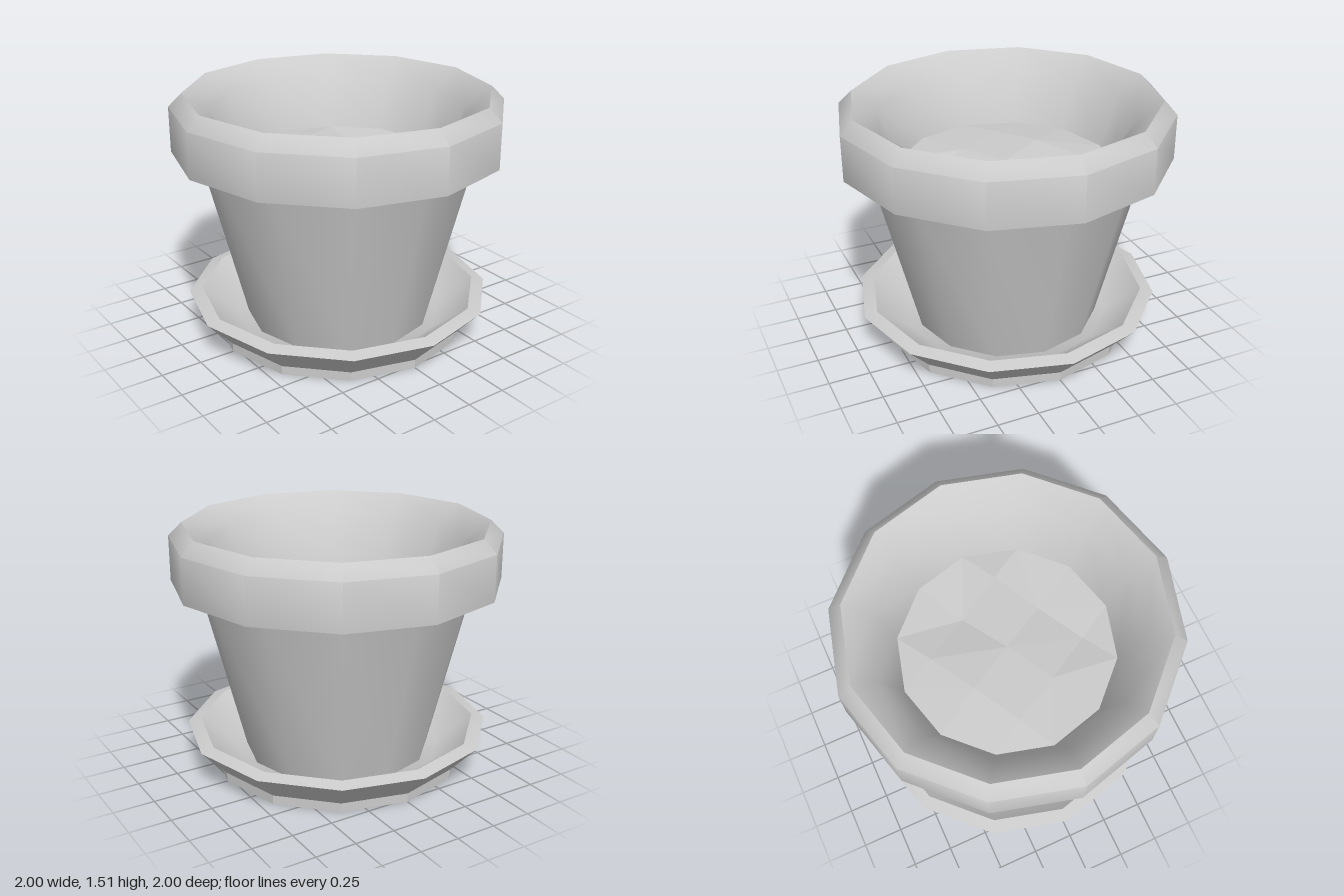
import * as THREE from 'three';
import { toCreasedNormals } from 'three/addons/utils/BufferGeometryUtils.js';

const SIDES = 12;
const smooth = new THREE.MeshStandardMaterial({ color: 0xcccccc });
const flat = new THREE.MeshStandardMaterial({ color: 0xcccccc, flatShading: true });

// Revolve a [radius, height] profile; outer walls run upwards
function turned(name, profile) {
  const points = profile.map(([r, y]) => new THREE.Vector2(r, y));
  const geometry = toCreasedNormals(new THREE.LatheGeometry(points, SIDES), 0.88);
  const mesh = new THREE.Mesh(geometry, smooth);
  mesh.name = name;
  return mesh;
}

// Lumpy soil: a centre, eight inner points and the twelve corners of the pot wall
function makeSoil(radius, level) {
  const at = (degrees, r, lift) => {
    const a = THREE.MathUtils.degToRad(degrees);
    return [r * Math.cos(a), level + lift, r * Math.sin(a)];
  };
  const farLift = [0.02, -0.03, 0.02, 0.02];
  const nearLift = [-0.03, 0.01, 0.04, -0.03];
  const centre = [0, level + 0.02, 0];
  const positions = [];
  const face = (a, b, c) => positions.push(...a, ...c, ...b);

  for (let q = 0; q < 4; q++) {
    const turn = q * 90;
    const far = at(15 + turn, radius * 0.7, farLift[q]);
    const near = at(60 + turn, radius * 0.5, nearLift[q]);
    const nextFar = at(105 + turn, radius * 0.7, farLift[(q + 1) % 4]);
    const edge = [0, 30, 60, 90, 120].map((d) => at(d + turn, radius, 0));
    face(centre, far, near);
    face(centre, near, nextFar);
    face(far, edge[0], edge[1]);
    face(far, edge[1], near);
    face(near, edge[1], edge[2]);
    face(near, edge[2], edge[3]);
    face(near, edge[3], nextFar);
  }
  const geometry = new THREE.BufferGeometry();
  geometry.setAttribute('position', new THREE.Float32BufferAttribute(positions, 3));
  geometry.computeVertexNormals();
  const mesh = new THREE.Mesh(geometry, flat);
  mesh.name = 'soil';
  return mesh;
}

export function createModel() {
  const group = new THREE.Group();
  group.name = 'flowerPot';

  // Saucer: faceted foot, flared wall, thin lip and sunken floor
  const foot = new THREE.Mesh(
    new THREE.CylinderGeometry(0.78, 0.78, 0.055, SIDES, 1), flat);
  foot.position.y = 0.0275;
  foot.name = 'saucerFoot';
  group.add(foot);
  group.add(turned('saucer', [
    [0.78, 0.055], [0.94, 0.225], [0.86, 0.245], [0.64, 0.07], [0, 0.07],
  ]));

  // Tapered body
  group.add(turned('potBody', [[0.575, 0.07], [0.845, 1.155]]));

  // Rim: flat underside, bevelled outside, sloping inside, wall down to the soil
  group.add(turned('potRim', [
    [0.845, 1.155], [1, 1.155], [1, 1.43], [0.92, 1.51], [0.77, 1.4], [0.65, 1.08],
  ]));

  group.add(makeSoil(0.65, 1.08));
  return group;
}
